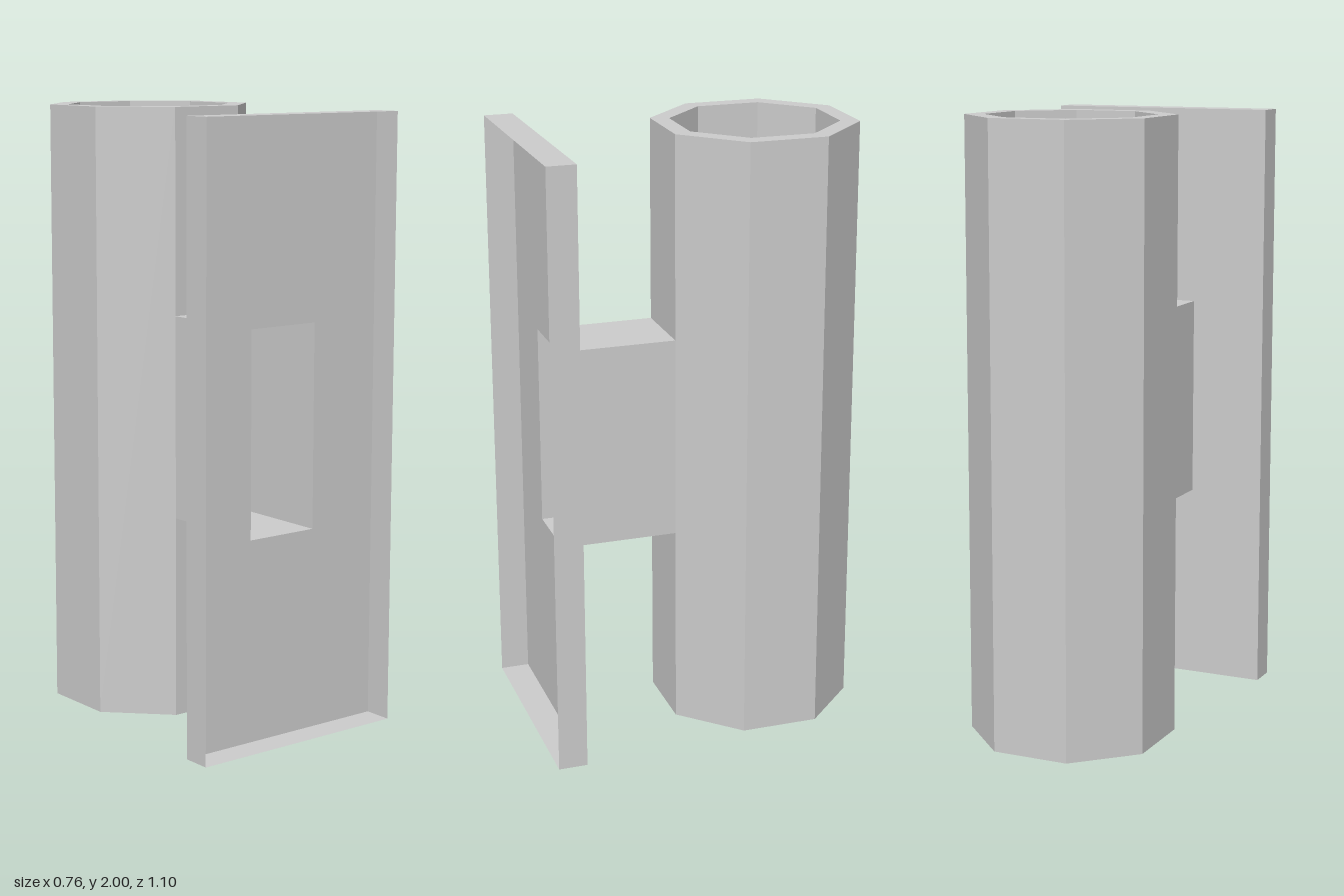
import * as THREE from 'three';

const material = new THREE.MeshStandardMaterial({ color: 0xcccccc, flatShading: true, side: THREE.DoubleSide });

function add(parent, name, geometry, x = 0, y = 0, z = 0) {
  const mesh = new THREE.Mesh(geometry, material);
  mesh.name = name;
  mesh.position.set(x, y, z);
  parent.add(mesh);
  return mesh;
}

function group(parent, name) {
  const g = new THREE.Group();
  g.name = name;
  parent.add(g);
  return g;
}

// Four outward-facing walls of a box that is open at front and back
function sleeve(parent, name, w, h, d, y, z) {
  for (const s of [-1, 1]) {
    add(parent, name + 'Side', new THREE.PlaneGeometry(d, h).rotateY(s * Math.PI / 2), s * w / 2, y, z);
    add(parent, name + (s > 0 ? 'Top' : 'Bottom'), new THREE.PlaneGeometry(w, d).rotateX(-s * Math.PI / 2), 0, y + s * h / 2, z);
  }
}

export function createModel() {
  const model = new THREE.Group();
  model.name = 'tubeBracket';

  const H = 2, step = Math.PI / 4, half = step / 2;
  const apothem = 0.308, tubeZ = -0.24;
  const R = apothem / Math.cos(half), r = 0.251 / Math.cos(half);
  const armW = 2 * R * Math.sin(half), armLow = 0.67, armHigh = 1.335;
  const armH = armHigh - armLow, armY = (armLow + armHigh) / 2;
  const tubeFront = tubeZ + apothem, plateBack = 0.453, plateFront = 0.548;

  // Octagonal tube: seven full outer sides, inner wall and end rims
  const tube = group(model, 'tube');
  add(tube, 'outerWall', new THREE.CylinderGeometry(R, R, H, 7, 1, true, half, 7 * step), 0, H / 2, tubeZ);
  add(tube, 'innerWall', new THREE.CylinderGeometry(r, r, H, 8, 1, true, half), 0, H / 2, tubeZ);
  for (const s of [-1, 1]) {
    const rim = new THREE.RingGeometry(r, R, 8, 1, half).rotateX(-s * Math.PI / 2);
    add(tube, s > 0 ? 'topRim' : 'bottomRim', rim, 0, s > 0 ? H : 0, tubeZ);
  }
  // Front side of the tube, interrupted where the hollow arm joins
  for (const [low, high] of [[0, armLow], [armHigh, H]]) {
    add(tube, 'frontWall', new THREE.PlaneGeometry(armW, high - low), 0, (low + high) / 2, tubeFront);
  }

  // Hollow connecting arm
  const arm = group(model, 'arm');
  sleeve(arm, 'arm', armW, armH, plateBack - tubeFront, armY, (plateBack + tubeFront) / 2);

  // Mounting plate: a shallow tray open at the front, pierced by the arm
  const plate = group(model, 'plate');
  const w = 0.76, low = 0.01, high = 1.99;
  sleeve(plate, 'plate', w, high - low, plateFront - plateBack, 1, (plateFront + plateBack) / 2);
  const rect = (C, rw, y0, y1) => new C([
    new THREE.Vector2(-rw / 2, y0), new THREE.Vector2(rw / 2, y0),
    new THREE.Vector2(rw / 2, y1), new THREE.Vector2(-rw / 2, y1)]);
  const back = rect(THREE.Shape, w, low, high);
  back.holes.push(rect(THREE.Path, armW, armLow, armHigh));
  add(plate, 'plateBack', new THREE.ShapeGeometry(back), 0, 0, plateBack);

  return model;
}
